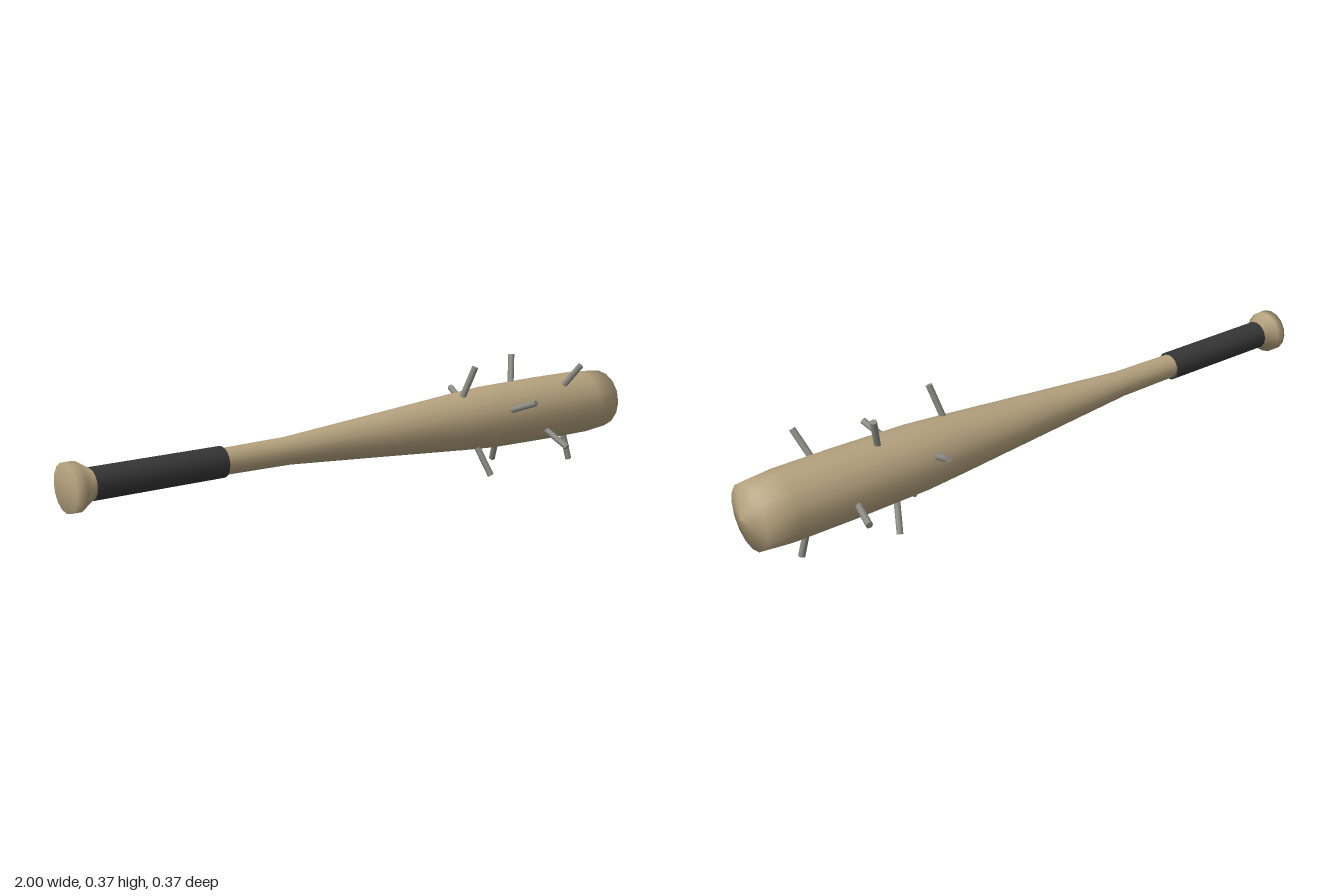
import * as THREE from 'three';

const AXIS_Y = 0.19, AXIS_Z = 0.003;
const wood = new THREE.MeshStandardMaterial({ color: 0xb5a27e });
const tape = new THREE.MeshStandardMaterial({ color: 0x363636 });
const steel = new THREE.MeshStandardMaterial({ color: 0x8c8c84 });

function add(parent, name, geometry, material) {
  const mesh = new THREE.Mesh(geometry, material);
  mesh.name = name;
  parent.add(mesh);
  return mesh;
}

// Turned body along x, from [x, radius] pairs
function turned(profile) {
  const points = profile.map(([x, r]) => new THREE.Vector2(r, x));
  return new THREE.LatheGeometry(points, 16).rotateZ(-Math.PI / 2);
}

export function createModel() {
  const model = new THREE.Group();
  model.name = 'spikedBat';

  const bat = new THREE.Group();
  bat.name = 'bat';
  bat.position.set(0, AXIS_Y, AXIS_Z);
  model.add(bat);

  // Wooden body: knob, thin handle, swelling barrel, shallow domed end
  add(bat, 'woodenBody', turned([
    [-1, 0], [-1, 0.068], [-0.97, 0.068], [-0.93, 0.042], [-0.53, 0.038], [-0.31, 0.041],
    [0, 0.065], [0.33, 0.091], [0.46, 0.1], [0.7, 0.104], [0.88, 0.104], [0.975, 0.096], [1, 0],
  ]), wood);

  // Wrapped grip
  add(bat, 'grip', new THREE.CylinderGeometry(0.045, 0.045, 0.4, 16).rotateZ(-Math.PI / 2), tape)
    .position.x = -0.73;

  // Nails: tip x, then tip direction around the axis as (z, y)
  const nails = [
    [0.36, 0.056, 0.18], [0.61, -0.046, 0.182], [0.77, 0.113, 0.15],
    [0.51, 0.176, 0.066], [0.67, 0.158, -0.1], [0.413, 0.079, -0.17],
    [0.825, 0.017, -0.186], [0.57, -0.085, -0.166], [0.725, -0.185, -0.032],
    [0.46, -0.173, 0.072],
  ];
  const up = new THREE.Vector3(0, 1, 0);
  nails.forEach(([x, z, y], i) => {
    const radial = new THREE.Vector3(0, y, z).normalize();
    const tip = radial.clone().multiplyScalar(0.187).setX(x);
    const foot = radial.clone().multiplyScalar(0.07).setX(x - 0.028);
    const axis = tip.clone().sub(foot);
    const nail = add(bat, `nail${i + 1}`, new THREE.CylinderGeometry(0.01, 0.01, axis.length(), 8), steel);
    nail.position.copy(tip).add(foot).multiplyScalar(0.5);
    nail.quaternion.setFromUnitVectors(up, axis.normalize());
  });

  return model;
}
